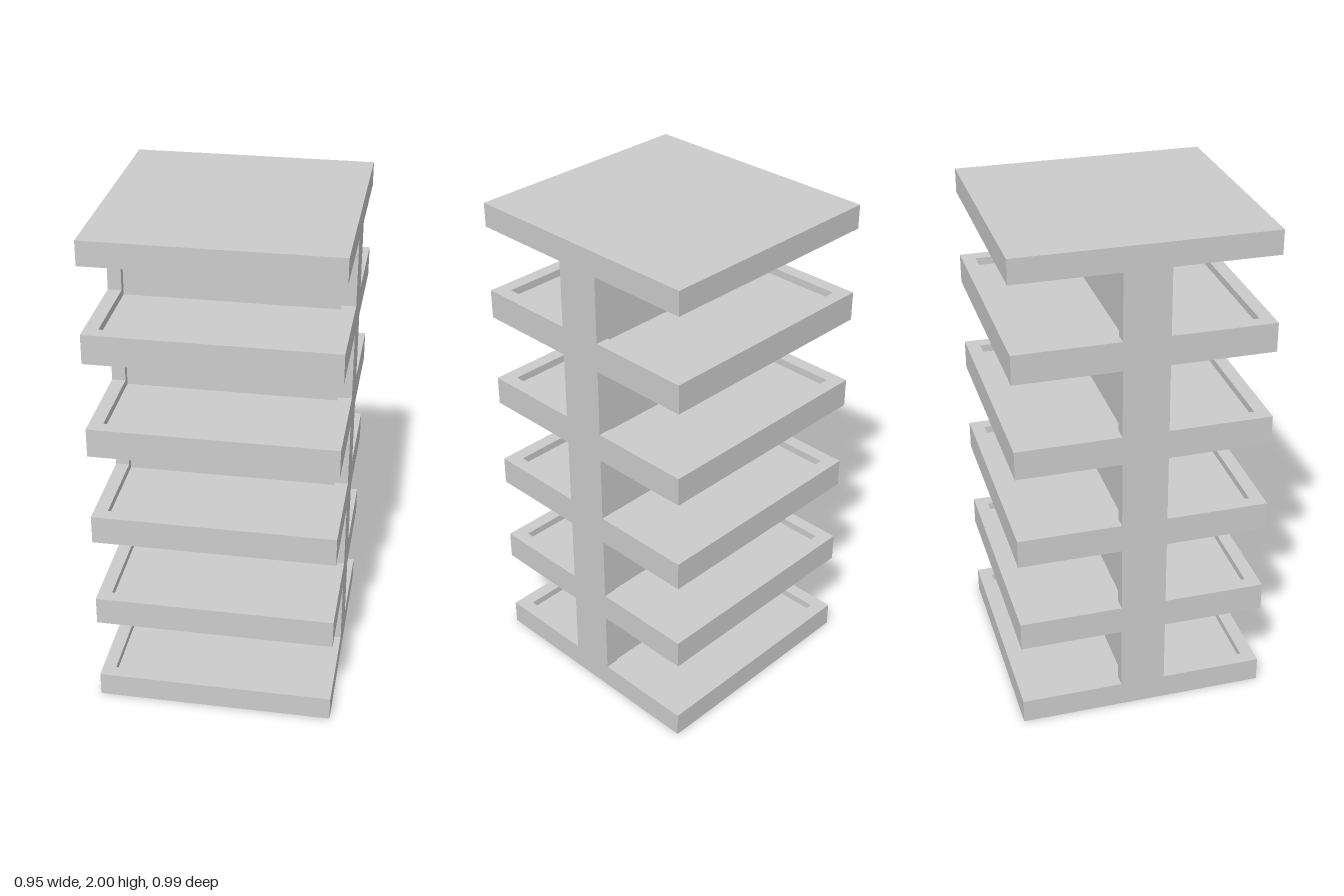
import * as THREE from 'three';

const HALF_X = 0.474, HALF_Z = 0.497; // footprint
const RIM = 0.054;                    // rim and cheek width
const POST = 0.09;                    // half depth of the spine
const RECESS = 0.03;                  // depth of the sunken panels
const SHELVES = [[0, 0.1], [0.365, 0.481], [0.752, 0.868], [1.138, 1.254], [1.525, 1.641], [1.905, 2]];

// Comb-shaped side section: shelves sticking out of a central spine, extruded along x
function combGeometry(shelves, reach, spine, width) {
  const half = [];
  shelves.forEach(([low, high], i) => {
    if (i > 0) half.push([spine, low]);
    half.push([reach, low], [reach, high]);
    if (i < shelves.length - 1) half.push([spine, high]);
  });
  const mirrored = half.map(([z, y]) => [-z, y]).reverse();
  const shape = new THREE.Shape([...half, ...mirrored].map(([z, y]) => new THREE.Vector2(z, y)));
  const geometry = new THREE.ExtrudeGeometry(shape, { depth: width, bevelEnabled: false });
  geometry.translate(0, 0, -width / 2);
  geometry.rotateY(Math.PI / 2);
  return geometry;
}

export function createModel() {
  const model = new THREE.Group();
  model.name = 'shelfTower';
  const material = new THREE.MeshStandardMaterial({ color: 0xcccccc, flatShading: true });
  const add = (name, geometry, x, y, z) => {
    const mesh = new THREE.Mesh(geometry, material);
    mesh.name = name;
    mesh.position.set(x, y, z);
    model.add(mesh);
  };

  // Sunken core: thinner shelves and back wall; the outermost faces stay flush
  const last = SHELVES.length - 1;
  const sunken = SHELVES.map(([low, high], i) => [
    i === 0 ? low : low + RECESS,
    i === last ? high : high - RECESS,
  ]);
  const innerWidth = 2 * (HALF_X - RIM);
  add('recessedShelvesAndWall', combGeometry(sunken, HALF_Z - RIM, POST - RECESS, innerWidth), 0, 0, 0);

  // End cheeks: posts with the shelf side rims
  const cheek = combGeometry(SHELVES, HALF_Z, POST, RIM);
  add('leftCheek', cheek, HALF_X - RIM / 2, 0, 0);
  add('rightCheek', cheek, -HALF_X + RIM / 2, 0, 0);

  // Front and back rims of every shelf
  SHELVES.forEach(([low, high], i) => {
    const rim = new THREE.BoxGeometry(innerWidth, high - low, RIM);
    add(`frontRim${i + 1}`, rim, 0, (low + high) / 2, HALF_Z - RIM / 2);
    add(`backRim${i + 1}`, rim, 0, (low + high) / 2, -HALF_Z + RIM / 2);
  });

  return model;
}
